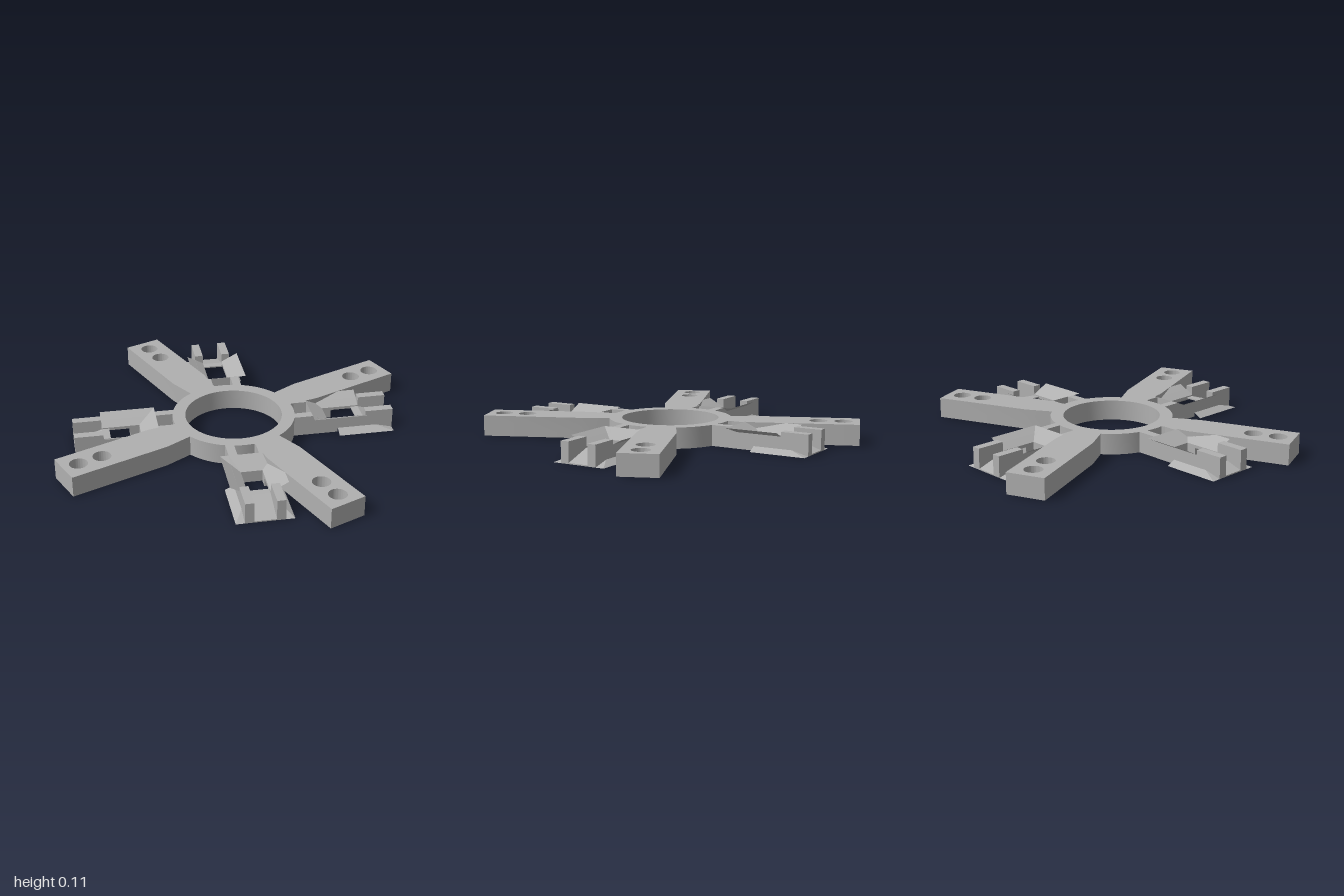
import * as THREE from 'three';
import { toCreasedNormals } from 'three/addons/utils/BufferGeometryUtils.js';

const H = 0.11; // plate thickness

export function createModel() {
  const root = new THREE.Group();
  root.name = 'crossBracket';
  const grey = new THREE.MeshStandardMaterial({ color: 0xb0b0b0, side: THREE.DoubleSide });
  grey.name = 'grey';

  function add(parent, geometry, name) {
    const mesh = new THREE.Mesh(geometry, grey);
    mesh.name = name;
    parent.add(mesh);
    return mesh;
  }

  // Flat plate lying on y = 0, drawn in plan
  function plate(shape) {
    const g = new THREE.ExtrudeGeometry(shape, { depth: H, bevelEnabled: false, curveSegments: 40 });
    g.rotateX(-Math.PI / 2);
    return toCreasedNormals(g, 0.5);
  }

  function circle(x, r) {
    return new THREE.Path().absarc(x, 0, r, 0, Math.PI * 2, true);
  }

  function fromTriangles(points) {
    const g = new THREE.BufferGeometry();
    g.setAttribute('position', new THREE.Float32BufferAttribute(points.flat(), 3));
    g.computeVertexNormals();
    return g;
  }

  // Solid between two side profiles of [x, y] points at z = za and z = zb (za < zb)
  function loft(a, b, za, zb) {
    const A = a.map(([x, y]) => [x, y, za]);
    const B = b.map(([x, y]) => [x, y, zb]);
    const tris = [];
    for (const [profile, P, flip] of [[a, A, true], [b, B, false]]) {
      const contour = profile.map(([x, y]) => new THREE.Vector2(x, y));
      for (const [i, j, k] of THREE.ShapeUtils.triangulateShape(contour, [])) {
        tris.push(...(flip ? [P[i], P[k], P[j]] : [P[i], P[j], P[k]]));
      }
    }
    a.forEach((_, i) => {
      const j = (i + 1) % a.length;
      tris.push(A[i], A[j], B[j], A[i], B[j], B[i]);
    });
    return fromTriangles(tris);
  }

  // Three-sided sloping flange: one end and two sides, from outer to inner rectangle
  function flange(xOut, xIn, xOpen, yOut, yIn) {
    const wo = 0.145, wi = 0.055, tris = [];
    const quad = (p, q, r, s) => tris.push(p, q, r, p, r, s);
    const up = xOut < xOpen; // opens upward when its closed end is nearest the ring
    const endQuad = [[xOut, yOut, -wo], [xOut, yOut, wo], [xIn, yIn, wi], [xIn, yIn, -wi]];
    quad(...endQuad);
    for (const s of [1, -1]) {
      const side = [[xOut, yOut, s * wo], [xOpen, yOut, s * wo], [xOpen, yIn, s * wi], [xIn, yIn, s * wi]];
      quad(...((s > 0) === up ? side : side.reverse()));
    }
    return fromTriangles(tris);
  }

  // Central ring
  const ring = new THREE.Shape().absarc(0, 0, 0.325, 0, Math.PI * 2, false);
  ring.holes.push(circle(0, 0.257));
  add(root, plate(ring), 'centralRing');

  // Tapered arm with two bolt holes
  const arm = new THREE.Shape([
    [0.29, -0.073], [0.32, -0.077], [0.465, -0.1], [1, -0.1],
    [1, 0.1], [0.465, 0.1], [0.32, 0.077], [0.29, 0.073],
  ].map(([x, y]) => new THREE.Vector2(x, y)));
  arm.holes.push(circle(0.785, 0.047), circle(0.915, 0.047));
  const armGeometry = plate(arm);

  // Socket rail, notched above and below to follow the flanges, ending in a prong
  const railInner = [
    [0.28, 0], [0.55, 0], [0.55, 0.046], [0.67, 0.046], [0.85, 0],
    [0.85, H], [0.7, H], [0.7, 0.062], [0.5, 0.062], [0.41, H], [0.28, H],
  ];
  const railOuter = [
    [0.28, 0], [0.55, 0], [0.55, 0.023], [0.76, 0.023], [0.85, 0],
    [0.85, H], [0.7, H], [0.7, 0.087], [0.455, 0.087], [0.41, H], [0.28, H],
  ];
  const railLeft = loft(railInner, railOuter, 0.055, 0.1);
  const railRight = loft(railOuter, railInner, -0.1, -0.055);

  // Cross pieces at both ends of the opening
  const innerProfile = [[0.41, 0], [0.5, 0], [0.5, 0.062], [0.41, H]];
  const outerProfile = [[0.66, 0.049], [0.67, 0.046], [0.85, 0], [0.85, 0.006], [0.7, 0.056], [0.66, 0.056]];
  const innerBar = loft(innerProfile, innerProfile, -0.057, 0.057);
  const outerBar = loft(outerProfile, outerProfile, -0.057, 0.057);
  const topFlange = flange(0.41, 0.5, 0.7, H, 0.062);
  const bottomFlange = flange(0.85, 0.67, 0.55, 0, 0.046);

  for (let i = 0; i < 4; i++) {
    const turn = -i * Math.PI / 2;
    add(root, armGeometry, 'arm').rotation.y = turn;

    const socket = new THREE.Group();
    socket.name = 'socket';
    socket.rotation.y = turn - Math.PI / 8;
    add(socket, railLeft, 'leftRail');
    add(socket, railRight, 'rightRail');
    add(socket, innerBar, 'innerCrossbar');
    add(socket, outerBar, 'outerCrossbar');
    add(socket, topFlange, 'topFlange');
    add(socket, bottomFlange, 'bottomFlange');
    root.add(socket);
  }
  return root;
}
